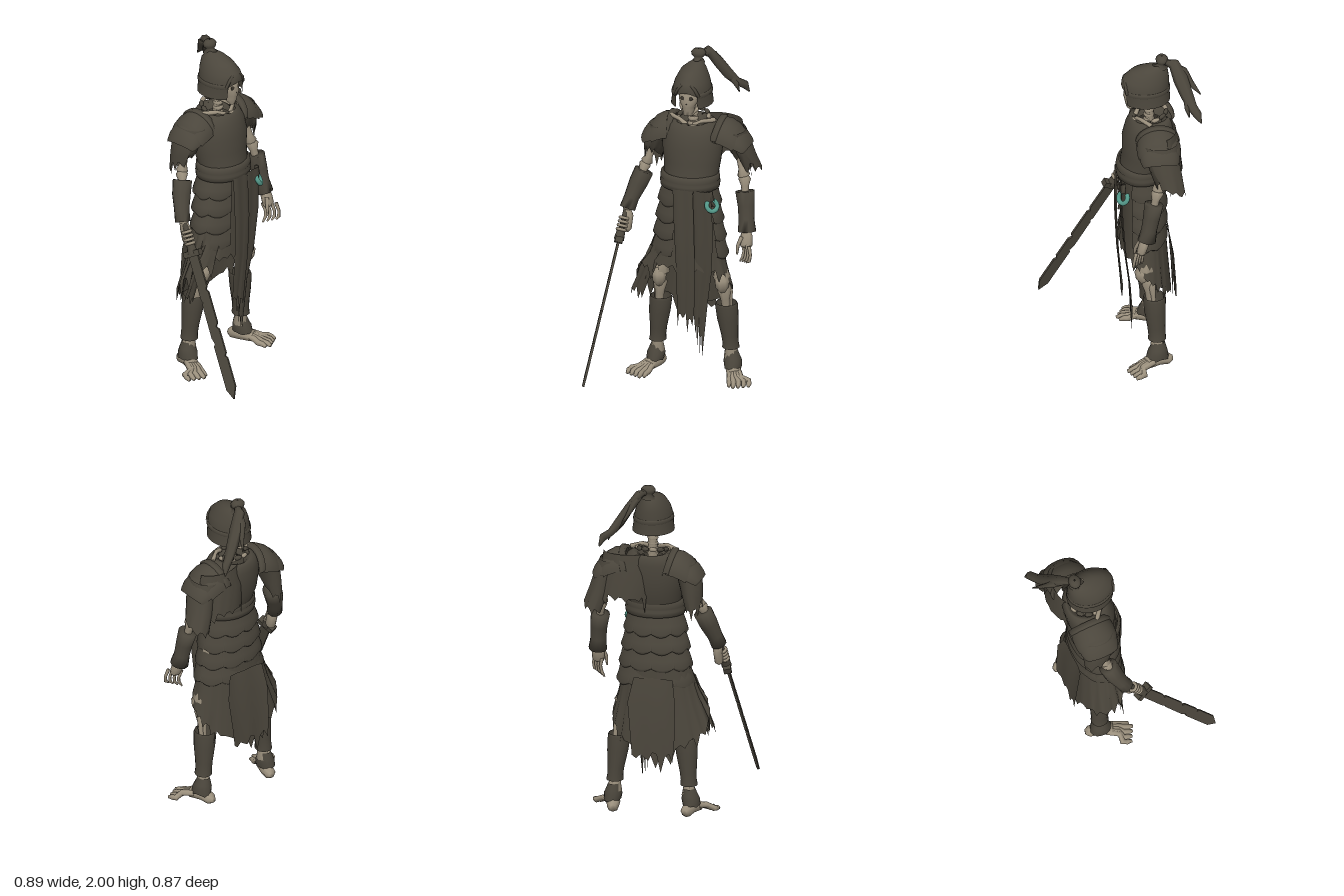
import * as THREE from 'three';

const mat = (name, color) => {
  const m = new THREE.MeshStandardMaterial({ color, side: THREE.DoubleSide });
  m.name = name;
  return m;
};
const V = (x, y, z) => new THREE.Vector3(x, y, z);
const TAU = Math.PI * 2;

export function createModel() {
  const root = new THREE.Group();
  const armour = mat('dark armour', 0x4b463c), cloth = mat('worn cloth', 0x4a453b);
  const bone = mat('old bone', 0x9c917e), jade = mat('jade', 0x54998a);
  const shade = mat('socket shadow', 0x3a352d);
  let seed = 7;
  const rnd = () => (seed = (seed * 16807) % 2147483647) / 2147483647;

  const add = (name, geo, m, parent = root) => {
    const mesh = new THREE.Mesh(geo, m);
    mesh.name = name;
    parent.add(mesh);
    return mesh;
  };

  // Surface through rows of points, optionally wrapped round and capped
  function grid(name, rows, m, wrap = false, cap = false) {
    const n = rows[0].length, pos = [], idx = [];
    rows.forEach(r => r.forEach(p => pos.push(p.x, p.y, p.z)));
    for (let r = 0; r < rows.length - 1; r++)
      for (let i = 0; i < (wrap ? n : n - 1); i++) {
        const a = r * n + i, b = r * n + (i + 1) % n;
        idx.push(a, a + n, b, b, a + n, b + n);
      }
    if (cap) {
      const last = (rows.length - 1) * n;
      for (let i = 1; i < n - 1; i++) idx.push(0, i, i + 1, last, last + i + 1, last + i);
    }
    const g = new THREE.BufferGeometry();
    g.setAttribute('position', new THREE.Float32BufferAttribute(pos, 3));
    g.setIndex(idx);
    g.computeVertexNormals();
    return add(name, g, m);
  }

  // Horizontal oval rings [y, cx, cz, rx, rz]; angle 0 faces +z; drop lowers the hem
  function shell(name, rings, m, { a0 = 0, a1 = TAU, n = 28, drop = () => 0 } = {}) {
    const wrap = a1 - a0 > TAU - 0.01, cols = wrap ? n : n + 1, hem = [];
    for (let i = 0; i < cols; i++) hem.push(drop(a0 + (a1 - a0) * i / n, i));
    const rows = rings.map(([y, cx, cz, rx, rz], r) => hem.map((h, i) => {
      const a = a0 + (a1 - a0) * i / n, t = r / (rings.length - 1);
      return V(cx + rx * Math.sin(a), y - h * t * t, cz + rz * Math.cos(a));
    }));
    return grid(name, rows, m, wrap);
  }

  // Capped tube through points [x, y, z, radius, other radius]
  function limb(name, pts, m, sides = 10) {
    const c = pts.map(p => V(p[0], p[1], p[2])), end = c.length - 1;
    const main = c[end].clone().sub(c[0]).normalize();
    const ref = Math.abs(main.z) > 0.75 ? V(0, 1, 0) : V(0, 0, 1);
    const rows = c.map((p, k) => {
      const d = c[Math.min(k + 1, end)].clone().sub(c[Math.max(k - 1, 0)]).normalize();
      const f = ref.clone().addScaledVector(d, -ref.dot(d)).normalize();
      const s = f.clone().cross(d), r = pts[k][3], r2 = pts[k][4] ?? r;
      return Array.from({ length: sides }, (_, i) => {
        const a = i / sides * TAU;
        return p.clone().addScaledVector(s, r * Math.sin(a)).addScaledVector(f, r2 * Math.cos(a));
      });
    });
    return grid(name, rows, m, true, true);
  }

  // Long bone with knobbed ends
  const longBone = (name, a, b, r) => limb(name,
    [[0, .9], [.07, 1.6], [.2, 1], [.5, .8], [.8, 1], [.93, 1.6], [1, .9]].map(([t, k]) =>
      [0, 1, 2].map(j => a[j] + (b[j] - a[j]) * t).concat(r * k)), bone, 8);
  const tooth = size => (a, i) => size * rnd() * (i % 3 ? .35 : 1);

  // Helmet with an arched brow, neck guard and plume
  const arch = a => -.035 * Math.max(0, Math.cos(a)) ** 6;
  shell('helmetDome', [[1.94, .06, -.2, .02, .03], [1.925, .056, -.175, .045, .063], [1.9, .05, -.155, .072, .105],
    [1.85, .05, -.135, .097, .132], [1.81, .05, -.13, .108, .138], [1.775, .05, -.13, .111, .139]], armour, { drop: arch });
  shell('helmetGuard', [[1.79, .05, -.13, .113, .141], [1.75, .05, -.132, .115, .139], [1.71, .05, -.134, .121, .139]],
    armour, { a0: .58, a1: TAU - .58 });
  shell('helmetBand', [[1.8, .05, -.13, .109, .139], [1.795, .05, -.13, .115, .143], [1.778, .05, -.13, .117, .144],
    [1.772, .05, -.13, .11, .138]], armour, { a0: .58, a1: TAU - .58 });
  for (const s of [-1, 1])
    limb('browRidge', [[.05, 1.868, -.022, .008], [.05 + s * .03, 1.85, -.012, .01], [.05 + s * .055, 1.82, -.012, .01],
      [.05 + s * .07, 1.785, -.02, .01]], armour, 6);
  shell('plumeHolder', [[2, .06, -.225, .004, .004], [1.995, .06, -.225, .03, .025], [1.98, .06, -.225, .043, .036],
    [1.962, .06, -.225, .04, .034], [1.945, .06, -.222, .022, .022], [1.92, .06, -.215, .04, .045]], armour, { n: 14 });
  limb('plumeTail', [[.07, 1.965, -.235, .018], [.1, 1.965, -.29, .025, .035], [.15, 1.89, -.325, .028, .045],
    [.2, 1.81, -.355, .03, .038], [.245, 1.755, -.38, .022, .03], [.285, 1.73, -.405, .024, .026], [.305, 1.68, -.425, .004]], cloth, 7);
  limb('plumeWisp', [[.09, 1.96, -.27, .02], [.12, 1.92, -.34, .022, .03], [.15, 1.86, -.38, .012, .02],
    [.185, 1.8, -.435, .003]], cloth, 6);
  limb('plumeWisp', [[.2, 1.81, -.35, .02], [.25, 1.75, -.35, .015], [.265, 1.7, -.36, .003]], cloth, 6);

  // Skull and neck
  const skull = add('skull', new THREE.SphereGeometry(1, 20, 14), bone);
  skull.scale.set(.075, .085, .11);
  skull.position.set(.05, 1.79, -.12);
  limb('face', [[.05, 1.81, -.065, .058, .055], [.05, 1.76, -.06, .057, .054], [.05, 1.735, -.055, .052, .052],
    [.05, 1.715, -.055, .04, .046], [.05, 1.69, -.055, .036, .042], [.05, 1.655, -.05, .026, .028]], bone, 14);
  for (const s of [-1, 1]) {
    const eye = add('eyeSocket', new THREE.SphereGeometry(1, 12, 8), shade);
    eye.scale.set(.014, .012, .006);
    eye.position.set(.05 + s * .023, 1.77, -.014);
    limb('jawSide', [[.05 + s * .055, 1.74, -.11, .012], [.05 + s * .05, 1.69, -.09, .014], [.05 + s * .015, 1.663, -.04, .012]], bone, 6);
  }
  limb('noseHole', [[.05, 1.748, -.006, .002], [.05, 1.735, -.006, .006, .004]], shade, 5);
  limb('neck', [[.05, 1.74, -.15, .026], [.05, 1.55, -.155, .028]], bone, 10);
  for (let i = 0; i < 5; i++)
    limb('neckBone', [[.05, 1.71 - i * .032, -.15, .024], [.05, 1.695 - i * .032, -.15, .034], [.05, 1.682 - i * .032, -.15, .024]], bone, 8);

  // Breastplate with a low neckline, bony collar and belt
  shell('breastplate', [[1.55, .05, -.155, .07, .07], [1.585, .05, -.16, .085, .1], [1.59, .05, -.16, .11, .112],
    [1.57, .05, -.158, .145, .125], [1.53, .05, -.153, .165, .138], [1.45, .05, -.14, .178, .144], [1.36, .05, -.135, .168, .138],
    [1.28, .05, -.115, .158, .13]], armour, { n: 36 });
  for (const s of [-1, 1])
    limb('collarBone', [[.05 + s * .02, 1.585, -.075, .014], [.05 + s * .07, 1.605, -.1, .012], [.05 + s * .13, 1.6, -.15, .014]], bone, 6);
  for (let i = 0; i < 12; i++) {
    const at = (t, r) => { const a = (i + t) / 12 * TAU; return [.05 + .088 * Math.sin(a), 1.6 - .022 * Math.cos(a), -.155 + .095 * Math.cos(a), r]; };
    limb('collarLink', [at(.05, .008), at(.3, .015), at(.7, .013), at(.95, .008)], i % 3 ? armour : bone, 6);
  }
  shell('belt', [[1.29, .045, -.11, .155, .13], [1.285, .045, -.107, .17, .14], [1.255, .045, -.105, .174, .144],
    [1.245, .045, -.105, .168, .138], [1.235, .045, -.105, .176, .146], [1.205, .045, -.105, .172, .143],
    [1.2, .045, -.105, .155, .125]], armour, { n: 36 });

  // Shoulder plates, in overlapping layers
  for (const s of [-1, 1]) {
    const plate = list => grid('shoulderPlate', list.map(([off, y, w, h]) => Array.from({ length: 17 }, (_, i) => {
      const p = (i / 16 * 2 - 1) * 1.5 * s;
      return V(.065 + s * (off - .03 * (1 - Math.cos(p))), y - h * (1 - Math.cos(p)), -.185 + w * Math.sin(p));
    })), armour);
    plate([[.13, 1.595, .11, .12], [.135, 1.615, .126, .12], [.165, 1.615, .128, .12], [.17, 1.6, .12, .12]]);
    plate([[.15, 1.605, .12, .12], [.2, 1.598, .128, .12], [.245, 1.57, .126, .11], [.27, 1.535, .12, .09]]);
    plate([[.25, 1.555, .113, .09], [.285, 1.53, .116, .08], [.315, 1.485, .105, .05], [.325, 1.46, .095, .03]]);
  }

  // Torn sleeves, longer behind, and the shoulder rag at the back
  const sleeveHem = size => (a, i) => .05 * (1 - Math.cos(a)) - .03 + tooth(size)(a, i);
  shell('rightSleeve', [[1.54, -.13, -.18, .08, .1], [1.46, -.175, -.185, .07, .095], [1.4, -.19, -.195, .062, .088],
    [1.36, -.205, -.205, .048, .075]], cloth, { n: 24, drop: sleeveHem(.09) });
  shell('leftSleeve', [[1.54, .27, -.19, .08, .1], [1.46, .31, -.2, .07, .095], [1.4, .335, -.22, .066, .09],
    [1.34, .37, -.245, .06, .08]], cloth, { n: 24, drop: sleeveHem(.1) });
  shell('backRag', [[1.59, .19, -.19, .14, .1], [1.48, .19, -.19, .17, .12], [1.36, .21, -.2, .17, .125]], cloth,
    { a0: 1.9, a1: 4.1, n: 18, drop: tooth(.14) });

  // Arms and bracers
  longBone('rightUpperArm', [-.15, 1.52, -.18], [-.238, 1.27, -.17], .022);
  longBone('rightForearm', [-.235, 1.29, -.17], [-.325, 1.01, -.07], .022);
  longBone('leftUpperArm', [.28, 1.52, -.19], [.35, 1.25, -.17], .024);
  longBone('leftForearm', [.35, 1.27, -.17], [.385, .96, -.1], .024);
  limb('rightBracer', [[-.245, 1.235, -.155, .056], [-.275, 1.16, -.135, .054], [-.305, 1.08, -.105, .044],
    [-.322, 1.02, -.08, .046]], armour, 12);
  limb('leftBracer', [[.36, 1.18, -.145, .056], [.372, 1.1, -.13, .05], [.378, 1.02, -.115, .046], [.385, .95, -.1, .054]], armour, 12);

  // Open left hand and gripping right hand
  limb('leftPalm', [[.385, .97, -.095, .02], [.387, .93, -.085, .036, .03], [.388, .88, -.07, .038, .028], [.388, .865, -.065, .03, .018]], bone, 8);
  for (let i = 0; i < 4; i++) {
    const x = .362 + i * .018, z = -.09 + i * .018;
    limb('finger', [[x, .885, z, .011], [x + .012, .835, z + .012, .009], [x + .006, .8, z + .016, .01], [x - .012, .77 + i * .006, z + .012, .005]], bone, 6);
  }
  limb('thumb', [[.365, .93, -.06, .013], [.348, .88, -.04, .011], [.345, .83, -.035, .006]], bone, 6);
  limb('rightPalm', [[-.325, 1.03, -.075, .022], [-.312, .98, -.07, .028, .034], [-.315, .91, -.05, .026, .034], [-.325, .895, -.045, .018]], bone, 8);

  // Notched sword: local y runs down the blade, z is its thickness
  const hilt = V(-.345, .86, .02), tip = V(-.44, .1, .43);
  const down = tip.clone().sub(hilt), len = down.length();
  down.normalize();
  const thick = V(1, 0, -.35);
  thick.addScaledVector(down, -thick.dot(down)).normalize();
  const sword = new THREE.Group();
  sword.name = 'sword';
  sword.quaternion.setFromRotationMatrix(new THREE.Matrix4().makeBasis(down.clone().cross(thick), down, thick));
  sword.position.copy(hilt);
  root.add(sword);
  const edge = [[-.03, 0], [.03, 0], [.032, .2], [.02, .22], [.032, .235], [.033, .42], [.018, .44], [.033, .46], [.034, .6],
    [.022, .615], [.034, .63], [.034, len - .07], [0, len], [-.03, len - .06], [-.031, .55], [-.02, .535], [-.031, .5],
    [-.03, .3], [-.022, .29], [-.03, .27]].map(p => new THREE.Vector2(...p));
  add('blade', new THREE.ExtrudeGeometry(new THREE.Shape(edge), { depth: .014, bevelEnabled: false }).translate(0, 0, -.007), armour, sword);
  add('crossGuard', new THREE.BoxGeometry(.105, .035, .045), armour, sword);
  add('guardCollar', new THREE.CylinderGeometry(.03, .024, .06, 10).translate(0, -.03, 0), armour, sword);
  add('grip', new THREE.CylinderGeometry(.016, .016, .22, 10).translate(0, -.11, 0), armour, sword);
  add('pommel', new THREE.CylinderGeometry(.024, .02, .03, 10).translate(0, -.215, 0), armour, sword);
  for (let i = 0; i < 4; i++)
    add('grippingFinger', new THREE.TorusGeometry(.023, .01, 6, 12).rotateX(Math.PI / 2).translate(0, -.06 - i * .023, 0), bone, sword);

  // Skirt plates: four tiers of scalloped panels behind and beside the front cloth
  const bounds = [1.0, 1.75, 2.5, 3.15, 3.8, 4.45, 5.15, 5.95];
  for (let k = 3; k >= 0; k--)
    for (let j = 0; j < bounds.length - 1; j++) {
      const top = 1.21 - k * .105, w = .158 + k * .014, a0 = bounds[j], a1 = bounds[j + 1];
      shell('skirtPlate', [[top, .045, -.11, w, .124], [top - .06, .04, -.112, w + .018, .134], [top - .098, .04, -.115, w + .031, .143],
        [top - .104, .04, -.115, w + .02, .133]], armour, { a0: a0 - .03, a1: a1 + .03, n: 8,
        drop: a => .022 * Math.sin((a - a0) / (a1 - a0) * Math.PI) });
    }

  // Torn underskirt, short at the front and long at the back
  shell('underskirt', [[1.2, .045, -.11, .15, .115], [1.0, .04, -.115, .175, .122], [.9, .03, -.12, .2, .128],
    [.82, .02, -.125, .235, .138], [.765, .005, -.13, .285, .152]], cloth, { n: 60,
    drop: (a, i) => .34 * Math.pow((1 - Math.cos(a)) / 2, 1.2) + tooth(.13)(a, i) });

  // Hanging cloth panels: [y, left x, right x, z]
  const strip = (name, rows, jag) => grid(name, rows.map(([y, l, r, z], k) => Array.from({ length: 11 }, (_, i) =>
    V(l + (r - l) * i / 10, y - (k === rows.length - 1 ? tooth(jag)(0, i) : 0), z + .003 * Math.sin(i * .9) - .008 * (i / 5 - 1) ** 2))), cloth);
  strip('frontPanel', [[1.22, -.02, .1, .042], [.95, -.01, .11, .046], [.7, .0, .11, .035], [.45, .0, .1, .01]], .16);
  strip('frontSidePanel', [[1.22, .09, .205, .033], [.95, .1, .215, .02], [.7, .09, .2, .0], [.5, .08, .17, -.025], [.36, .09, .14, -.04]], .2);
  strip('backPanel', [[.84, -.09, .14, -.25], [.7, -.11, .17, -.275], [.5, -.11, .15, -.29], [.42, -.1, .14, -.295]], .15);
  strip('hipRag', [[.82, -.18, -.13, -.05], [.66, -.25, -.17, -.065], [.54, -.305, -.23, -.08]], .08);

  // Jade ring hanging from the belt, leaning outwards
  const ring = add('jadeRing', new THREE.TorusGeometry(.032, .014, 8, 20, 5.2), jade);
  ring.rotation.set(-.5, .7, 2.1, 'YXZ');
  ring.position.set(.21, 1.135, .016);
  limb('ringCord', [[.2, 1.22, .01, .012], [.205, 1.165, .014, .016]], cloth, 6);

  // Legs, greaves, ankle wraps and bony feet
  for (const s of [-1, 1]) {
    const X = off => .05 + s * off;
    longBone('thighBone', [X(.13), 1.02, -.13], [X(.185), .62, -.11], .034);
    limb('kneeCap', [[X(.183), .68, -.1, .024], [X(.187), .635, -.09, .044], [X(.188), .6, -.095, .042], [X(.19), .56, -.11, .024]], bone, 8);
    longBone('shinBone', [X(.188), .61, -.12], [X(.222), .09, -.18], .028);
    longBone('calfBone', [X(.215), .58, -.14], [X(.235), .12, -.19], .014);
    shell('greave', [[.47, X(.195), -.16, .06, .062], [.455, X(.196), -.16, .066, .066], [.37, X(.203), -.163, .062, .062],
      [.27, X(.212), -.17, .049, .052], [.22, X(.216), -.173, .046, .05], [.19, X(.218), -.173, .05, .052]], armour, { n: 16 });
    shell('ankleWrap', [[.17, X(.222), -.18, .033, .036], [.13, X(.226), -.178, .045, .05], [.11, X(.228), -.175, .053, .058],
      [.075, X(.232), -.172, .05, .066]], armour, { n: 14, drop: tooth(.02) });
    limb('heel', [[X(.21), .045, -.262, .016], [X(.215), .045, -.24, .034], [X(.225), .055, -.18, .04], [X(.255), .048, -.11, .042, .032]], bone, 8);
    for (let i = 0; i < 5; i++) {
      const toe = .25 + i * .027, z = -.005 - Math.abs(i - 1) * .014;
      limb('toe', [[X(.222 + i * .011), .06, -.15, .019], [X(.236 + i * .017), .042, -.085, .018], [X(toe - .008), .026, z - .04, .018],
        [X(toe), .022, z - .015, .016], [X(toe + .003), .013, z + .01, .01]], bone, 7);
    }
  }
  return root;
}
